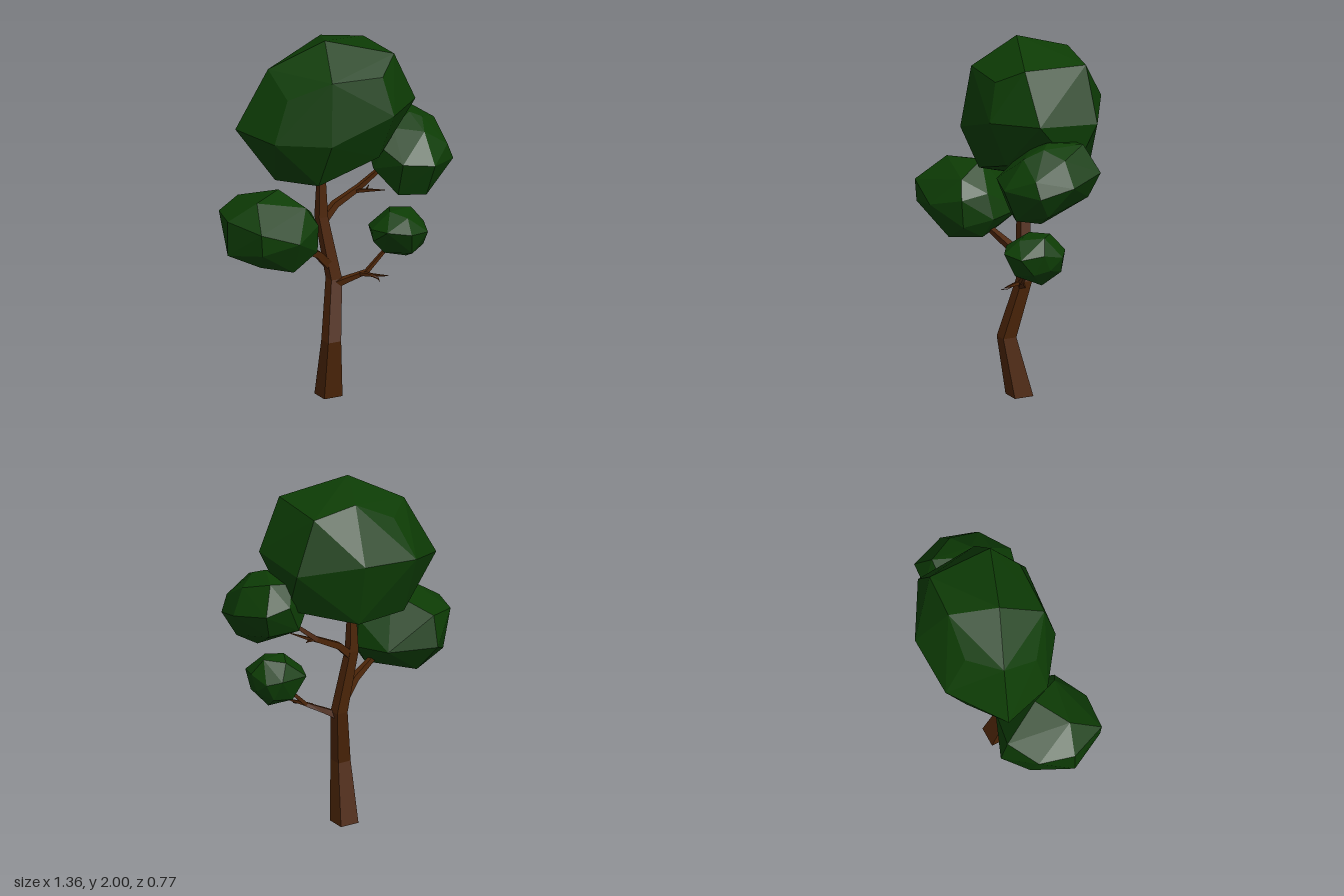
import * as THREE from 'three';
import { ConvexGeometry } from 'three/addons/geometries/ConvexGeometry.js';

const leaf = new THREE.MeshStandardMaterial({ color: 0x0d3c05, flatShading: true });
const bark = new THREE.MeshStandardMaterial({ color: 0x4c2508, flatShading: true });

// Faceted clump of leaves: the hull around a few corner points
function clump(name, corners) {
  const mesh = new THREE.Mesh(new ConvexGeometry(corners.map((c) => new THREE.Vector3(...c))), leaf);
  mesh.name = name;
  return mesh;
}

// Tapered four-sided limb through [x, y, z, radius] sections; level keeps the rings horizontal
function limb(name, sections, level = false) {
  const sides = 4;
  const pts = sections.map((s) => new THREE.Vector3(s[0], s[1], s[2]));
  const last = pts.length - 1;
  const pos = [];
  const index = [];
  pts.forEach((p, i) => {
    const dir = level
      ? new THREE.Vector3(0, 1, 0)
      : pts[Math.min(i + 1, last)].clone().sub(pts[Math.max(i - 1, 0)]).normalize();
    const u = new THREE.Vector3(0, 0, 1).projectOnPlane(dir).normalize();
    const v = dir.clone().cross(u);
    for (let k = 0; k < sides; k++) {
      const a = ((k + 0.5) / sides) * Math.PI * 2;
      const q = p.clone()
        .addScaledVector(u, Math.cos(a) * sections[i][3])
        .addScaledVector(v, Math.sin(a) * sections[i][3]);
      pos.push(q.x, q.y, q.z);
      const n = (k + 1) % sides;
      const b = i * sides;
      if (i < last) index.push(b + k, b + n, b + sides + n, b + k, b + sides + n, b + sides + k);
    }
  });
  // End caps
  for (let k = 1; k < sides - 1; k++) {
    const t = last * sides;
    index.push(0, k + 1, k, t, t + k, t + k + 1);
  }
  const geo = new THREE.BufferGeometry();
  geo.setAttribute('position', new THREE.Float32BufferAttribute(pos, 3));
  geo.setIndex(index);
  const flat = geo.toNonIndexed();
  flat.computeVertexNormals();
  const mesh = new THREE.Mesh(flat, bark);
  mesh.name = name;
  return mesh;
}

export function createModel() {
  const tree = new THREE.Group();
  tree.name = 'tree';

  // Crooked trunk
  tree.add(limb('trunk', [
    [-0.005, 0, 0.035, 0.078], [-0.025, 0.33, 0.102, 0.055], [0.032, 0.65, 0.027, 0.046],
    [-0.03, 1.0, 0.0, 0.038], [-0.03, 1.3, 0.0, 0.021],
  ], true));

  // Branches reaching into the clumps
  tree.add(limb('rightBranch', [
    [0.02, 0.71, 0.02, 0.032], [-0.08, 0.81, 0.05, 0.027], [-0.2, 0.865, 0.09, 0.02], [-0.32, 0.92, 0.12, 0.014],
  ]));
  tree.add(limb('leftUpperBranch', [
    [-0.035, 0.96, 0, 0.03], [0.06, 1.05, -0.01, 0.025], [0.2, 1.12, -0.01, 0.02], [0.32, 1.22, 0.02, 0.014],
  ]));
  tree.add(limb('leftLowerBranch', [
    [0.03, 0.62, 0.04, 0.028], [0.09, 0.65, 0.075, 0.021], [0.18, 0.69, 0.12, 0.015], [0.3, 0.81, 0.13, 0.011],
  ]));

  // Bare twigs
  const twigs = [
    [[0.15, 0.68, 0.11, 0.014], [0.19, 0.685, 0.18, 0.01], [0.24, 0.695, 0.25, 0.002]],
    [[0.18, 0.685, 0.17, 0.01], [0.2, 0.675, 0.21, 0.006], [0.19, 0.67, 0.245, 0.002]],
    [[0.18, 1.105, -0.01, 0.014], [0.23, 1.115, 0.04, 0.01], [0.29, 1.13, 0.12, 0.002]],
    [[0.2, 1.11, 0.01, 0.01], [0.24, 1.11, 0.01, 0.006], [0.27, 1.12, -0.02, 0.002]],
  ];
  twigs.forEach((t, i) => tree.add(limb('twig' + (i + 1), t)));

  // Large top crown
  tree.add(clump('crown', [
    [-0.03, 2.0, 0.04], [0.33, 1.9, -0.19], [0.08, 1.94, -0.21], [-0.15, 1.82, -0.23],
    [0.32, 1.91, 0.17], [0.19, 1.83, 0.28], [-0.11, 1.84, 0.27], [-0.31, 1.85, -0.08], [-0.3, 1.73, 0.12],
    [-0.14, 1.5, 0.32], [0.23, 1.62, 0.335], [0.46, 1.63, 0.15], [0.445, 1.6, -0.2],
    [0.13, 1.65, -0.385], [-0.2, 1.62, -0.375], [-0.475, 1.52, -0.14], [-0.39, 1.5, 0.14],
    [-0.31, 1.25, 0.0], [-0.155, 1.25, 0.2], [-0.03, 1.23, 0.04], [0.25, 1.28, -0.03],
    [0.2, 1.36, 0.22], [0.42, 1.36, -0.08], [0.13, 1.3, -0.32], [-0.2, 1.28, -0.25],
  ]));

  tree.add(clump('rightClump', [
    [-0.68, 1.12, 0.15], [-0.68, 0.93, 0.15], [-0.63, 1.12, -0.04], [-0.46, 1.15, -0.14],
    [-0.46, 0.98, -0.18], [-0.53, 1.215, 0.2], [-0.34, 1.23, 0.09], [-0.59, 1.09, 0.36],
    [-0.58, 0.97, 0.355], [-0.37, 1.01, 0.385], [-0.26, 1.16, 0.25],
    [-0.2, 1.06, 0.28], [-0.17, 1.09, 0.14], [-0.14, 0.95, 0.12], [-0.21, 0.97, -0.08],
    [-0.21, 0.84, 0.15], [-0.41, 0.8, 0.1], [-0.35, 0.82, 0.28], [-0.55, 0.88, 0.28],
    [-0.41, 0.82, -0.05], [-0.57, 0.91, -0.06], [-0.2, 0.91, 0.27],
  ]));

  tree.add(clump('leftUpperClump', [
    [0.45, 1.54, 0.1], [0.53, 1.53, -0.07], [0.61, 1.48, 0.08], [0.4, 1.51, -0.08],
    [0.33, 1.48, 0.14], [0.46, 1.47, 0.25], [0.5, 1.52, 0.15], [0.6, 1.38, 0.25], [0.68, 1.34, 0.06],
    [0.6, 1.38, -0.14], [0.46, 1.41, -0.155], [0.26, 1.38, -0.04], [0.24, 1.39, 0.2],
    [0.29, 1.33, 0.325], [0.46, 1.31, 0.368], [0.64, 1.29, 0.24], [0.21, 1.27, 0.14],
    [0.3, 1.14, 0.25], [0.47, 1.1, 0.15], [0.59, 1.17, 0.17], [0.45, 1.13, 0.29],
    [0.31, 1.18, 0.08], [0.55, 1.24, -0.09], [0.38, 1.25, -0.12],
  ]));

  tree.add(clump('leftLowerClump', [
    [0.31, 1.01, 0.14], [0.45, 1.01, 0.12], [0.36, 1.0, 0.04], [0.37, 0.99, 0.23],
    [0.51, 0.93, 0.15], [0.47, 0.91, 0.27], [0.35, 0.92, 0.31], [0.24, 0.93, 0.24],
    [0.21, 0.92, 0.12], [0.25, 0.91, 0.01], [0.42, 0.92, -0.02], [0.49, 0.9, 0.03], [0.5, 0.84, 0.11],
    [0.21, 0.86, 0.14], [0.42, 0.74, 0.12], [0.27, 0.79, 0.15], [0.38, 0.8, 0.26],
    [0.33, 0.79, 0.02], [0.45, 0.81, 0.02], [0.48, 0.82, 0.2],
  ]));

  return tree;
}
